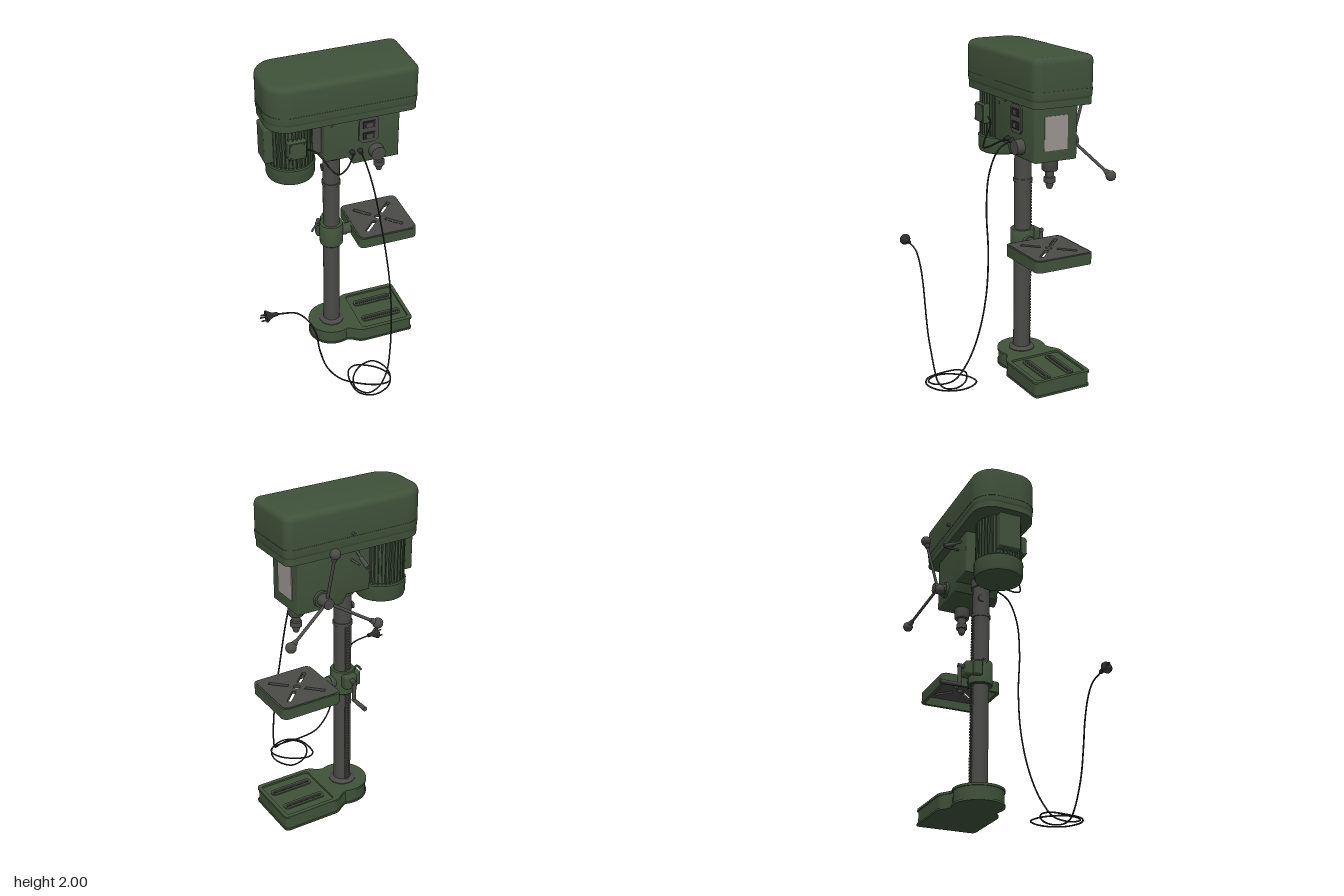
import * as THREE from 'three';
import { toCreasedNormals } from 'three/addons/utils/BufferGeometryUtils.js';
import { RoundedBoxGeometry } from 'three/addons/geometries/RoundedBoxGeometry.js';

const V = (x, y, z) => new THREE.Vector3(x, y, z);
const ZC = -0.182; // depth of the machine's middle plane
const COL = 0.042; // column x

export function createModel() {
  const root = new THREE.Group();
  const mat = (name, color, side = THREE.FrontSide) => {
    const m = new THREE.MeshStandardMaterial({ color, side });
    m.name = name;
    return m;
  };
  const green = mat('machine green', 0x40523a);
  const grey = mat('dark steel', 0x4a4a47);
  const black = mat('black rubber', 0x2b2c2a);
  const pale = mat('label grey', 0x9b9590);

  const add = (name, geo, material, x = 0, y = 0, z = 0) => {
    const m = new THREE.Mesh(geo, material);
    m.name = name;
    m.position.set(x, y, z);
    root.add(m);
    return m;
  };
  const box = (name, m, x0, x1, y0, y1, z0, z1, r = 0) => {
    const s = [x1 - x0, y1 - y0, z1 - z0];
    const g = r ? new RoundedBoxGeometry(...s, 3, r) : new THREE.BoxGeometry(...s);
    return add(name, g, m, (x0 + x1) / 2, (y0 + y1) / 2, (z0 + z1) / 2);
  };
  // tapered round bar between two points
  const rod = (name, m, a, b, r0, r1 = r0, seg = 20) => {
    const d = b.clone().sub(a);
    const mesh = add(name, new THREE.CylinderGeometry(r1, r0, d.length(), seg), m);
    mesh.position.copy(a).add(b).multiplyScalar(0.5);
    mesh.quaternion.setFromUnitVectors(V(0, 1, 0), d.normalize());
    return mesh;
  };
  const lathe = (name, m, pts, x, y, z) => add(name,
    toCreasedNormals(new THREE.LatheGeometry(pts.map(p => new THREE.Vector2(...p)), 32), 0.6), m, x, y, z);
  const tube = (name, m, pts, r, n) => add(name,
    new THREE.TubeGeometry(new THREE.CatmullRomCurve3(pts.map(p => V(...p))), n, r, 8), m);
  // floor-plan outline extruded upward; plan y is minus world z
  const slab = (name, m, shape, y0, y1, bevel = 0, x = 0, z = ZC) => {
    const g = new THREE.ExtrudeGeometry(shape, {
      depth: y1 - y0 - 2 * bevel, curveSegments: 12, bevelEnabled: bevel > 0,
      bevelSize: bevel, bevelThickness: bevel, bevelOffset: -bevel, bevelSegments: 5,
    });
    g.translate(0, 0, bevel).rotateX(-Math.PI / 2);
    return add(name, toCreasedNormals(g, 0.6), m, x, y0, z);
  };
  // rectangle with separate corner radii at its left and right ends
  const plan = (x0, x1, h, rl, rr, P = THREE.Shape) => {
    const s = new P();
    s.moveTo(x0 + rl, -h);
    s.lineTo(x1 - rr, -h);
    s.absarc(x1 - rr, -h + rr, rr, -Math.PI / 2, 0);
    s.absarc(x1 - rr, h - rr, rr, 0, Math.PI / 2);
    s.absarc(x0 + rl, h - rl, rl, Math.PI / 2, Math.PI);
    s.absarc(x0 + rl, -h + rl, rl, Math.PI, Math.PI * 1.5);
    return s;
  };

  // Base: round end under the column, necking into a square work surface
  const basePlan = (d) => {
    const s = new THREE.Shape(), R = 0.152 - d, h = 0.19 - d, e = 0.548 - d;
    s.moveTo(0.1, -R + 0.012);
    s.bezierCurveTo(0.15, -R, 0.16, -h, 0.21, -h);
    s.lineTo(e - 0.03, -h);
    s.quadraticCurveTo(e, -h, e, -h + 0.03);
    s.lineTo(e, h - 0.03);
    s.quadraticCurveTo(e, h, e - 0.03, h);
    s.lineTo(0.21, h);
    s.bezierCurveTo(0.16, h, 0.15, R, 0.1, R - 0.012);
    s.absarc(COL, 0, R, 1.17, Math.PI * 2 - 1.17);
    return s;
  };
  slab('baseBody', green, basePlan(0.006), 0, 0.088);
  slab('baseFoot', green, basePlan(0), 0, 0.012);
  const rim = basePlan(0);
  rim.holes.push(plan(0.2, 0.525, 0.165, 0.02, 0.02, THREE.Path));
  slab('baseRim', green, rim, 0.086, 0.1);
  for (const s of [-1, 1]) {
    slab('baseSlotRib', green, plan(0.23, 0.5, 0.026, 0.02, 0.02), 0.086, 0.096, 0, 0, ZC + s * 0.08);
    slab('baseSlot', black, plan(0.24, 0.49, 0.012, 0.011, 0.011), 0.094, 0.098, 0, 0, ZC + s * 0.08);
  }

  // Column with flange, collars and toothed rack
  lathe('columnFlange', grey, [[0, 0.095], [0.08, 0.095], [0.08, 0.105], [0.06, 0.112], [0.053, 0.12]], COL, 0, ZC);
  rod('column', grey, V(COL, 0.09, ZC), V(COL, 1.45, ZC), 0.052, 0.052, 40);
  rod('rackCollar', grey, V(COL, 1.185, ZC), V(COL, 1.205, ZC), 0.058, 0.058, 40);
  rod('headCollar', grey, V(COL, 1.385, ZC), V(COL, 1.45, ZC), 0.063, 0.063, 40);
  const teeth = new THREE.Shape();
  teeth.moveTo(0, 0.12);
  for (let y = 0.12; y < 1.17; y += 0.018) {
    teeth.lineTo(0.012, y);
    teeth.lineTo(0.012, y + 0.009);
    teeth.lineTo(0.006, y + 0.011);
    teeth.lineTo(0.006, y + 0.017);
  }
  teeth.lineTo(0, 1.185);
  const rackGeo = new THREE.ExtrudeGeometry(teeth, { depth: 0.026, bevelEnabled: false });
  rackGeo.translate(0, 0, -0.013).rotateY(Math.PI / 2);
  add('rack', rackGeo, grey, COL, 0, ZC - 0.047);

  // Table bracket, gear housing, crank and clamp lever
  lathe('tableBracket', green, [[0.05, 0.738], [0.07, 0.738], [0.073, 0.742], [0.073, 0.883], [0.07, 0.888], [0.05, 0.888]], COL, 0, ZC);
  rod('tableArm', green, V(0.1, 0.815, ZC), V(0.17, 0.815, ZC), 0.034);
  rod('tableArmCollar', grey, V(0.105, 0.815, ZC), V(0.135, 0.815, ZC), 0.038);
  box('gearHousing', green, 0.0, 0.085, 0.79, 0.88, -0.29, -0.22, 0.015);
  rod('crankShaft', grey, V(COL, 0.85, -0.28), V(COL, 0.85, -0.325), 0.014);
  rod('crankArm', grey, V(COL, 0.86, -0.315), V(COL, 0.725, -0.315), 0.012);
  rod('crankHandle', grey, V(COL, 0.73, -0.305), V(COL, 0.73, -0.435), 0.011, 0.014);
  box('clampEar', green, -0.045, 0.0, 0.78, 0.87, -0.25, -0.2, 0.01);
  tube('clampLever', grey, [[-0.02, 0.85, -0.21], [-0.04, 0.88, -0.2], [-0.06, 0.872, -0.195], [-0.085, 0.84, -0.19]], 0.007, 20);

  // Table: hollow green frame with a slotted steel top
  const frame = plan(0.165, 0.546, 0.19, 0.035, 0.035);
  frame.holes.push(plan(0.185, 0.526, 0.17, 0.025, 0.025, THREE.Path));
  slab('tableFrame', green, frame, 0.78, 0.848);
  const top = plan(0.175, 0.536, 0.18, 0.03, 0.03);
  for (let i = 0; i < 4; i++) {
    const a = Math.PI / 4 + i * Math.PI / 2, c = Math.cos(a), s = Math.sin(a);
    const hole = new THREE.Path();
    [[0.05, -0.012], [0.17, -0.012], [0.17, 0.012], [0.05, 0.012]].forEach(([u, v], k) =>
      hole[k ? 'lineTo' : 'moveTo'](0.355 + u * c - v * s, u * s + v * c));
    hole.closePath();
    top.holes.push(hole);
  }
  const centre = new THREE.Path();
  centre.absarc(0.355, 0, 0.02, 0, Math.PI * 2);
  top.holes.push(centre);
  slab('tableTop', grey, top, 0.832, 0.851);

  // Head casting with stepped underside
  const side = new THREE.Shape();
  [[-0.05, 1.74], [-0.05, 1.44], [0.1, 1.44], [0.13, 1.39], [0.416, 1.39], [0.416, 1.74]]
    .forEach(([x, y], i) => side[i ? 'lineTo' : 'moveTo'](x, y));
  const headGeo = new THREE.ExtrudeGeometry(side, {
    depth: 0.264, bevelSize: 0.01, bevelThickness: 0.01, bevelOffset: -0.01, bevelSegments: 3 });
  add('head', toCreasedNormals(headGeo, 0.6), green, 0, 0, -0.314);
  box('sideLabel', pale, 0.414, 0.42, 1.455, 1.655, -0.257, -0.105);

  // Belt cover
  slab('coverLower', green, plan(-0.385, 0.507, 0.193, 0.13, 0.045), 1.72, 1.8);
  slab('coverSeam', green, plan(-0.392, 0.514, 0.199, 0.14, 0.05), 1.798, 1.814);
  slab('coverUpper', green, plan(-0.39, 0.512, 0.197, 0.138, 0.05), 1.74, 2.0, 0.035);
  rod('coverKnob', grey, V(0.1, 1.83, -0.37), V(0.1, 1.83, -0.398), 0.009);

  // Motor: finned barrel, end cap, terminal box and mounts
  const MX = -0.215;
  lathe('motorBarrel', green, [[0, 1.41], [0.122, 1.41], [0.122, 1.7], [0.1, 1.725], [0, 1.725]], MX, 0, ZC);
  for (let i = 0; i < 36; i++) {
    const a = i / 36 * Math.PI * 2;
    const fin = box('motorFin', green, -0.012, 0.012, 1.43, 1.695, -0.004, 0.004);
    fin.position.x = MX + Math.cos(a) * 0.128;
    fin.position.z = ZC + Math.sin(a) * 0.128;
    fin.rotation.y = -a;
  }
  lathe('motorCap', green, [[0, 1.32], [0.125, 1.32], [0.14, 1.327], [0.146, 1.345], [0.149, 1.425], [0.143, 1.432], [0.12, 1.432]], MX, 0, ZC);
  box('terminalBox', green, -0.272, -0.16, 1.51, 1.628, -0.08, -0.025, 0.008);
  box('terminalLid', green, -0.265, -0.167, 1.517, 1.621, -0.026, -0.018);
  for (const x of [-0.256, -0.176]) for (const y of [1.527, 1.611])
    rod('lidScrew', grey, V(x, y, -0.02), V(x, y, -0.014), 0.005, 0.005, 10);
  box('motorSidePad', green, -0.39, -0.33, 1.46, 1.69, -0.25, -0.114, 0.008);
  box('motorMount', grey, -0.1, -0.045, 1.47, 1.69, -0.26, -0.1, 0.006);

  // Switch and front fittings
  const sw = new THREE.Shape();
  [[-0.06, -0.065], [-0.04, -0.085], [0.04, -0.085], [0.06, -0.065], [0.06, 0.065], [0.04, 0.085], [-0.04, 0.085], [-0.06, 0.065]]
    .forEach(([x, y], i) => sw[i ? 'lineTo' : 'moveTo'](x, y));
  add('switchPlate', new THREE.ExtrudeGeometry(sw, { depth: 0.012, bevelEnabled: false }), grey, 0.22, 1.615, -0.042);
  box('switchUpper', black, 0.183, 0.257, 1.63, 1.675, -0.032, -0.024);
  box('switchLower', black, 0.183, 0.257, 1.555, 1.6, -0.032, -0.024);
  box('switchButton', grey, 0.2, 0.24, 1.638, 1.667, -0.026, -0.019);
  box('switchButton', grey, 0.2, 0.24, 1.563, 1.592, -0.026, -0.019);
  for (const x of [0.12, 0.17]) rod('cableGland', black, V(x, 1.48, -0.045), V(x, 1.475, -0.012), 0.016, 0.011);
  for (const [x, y] of [[0.0, 1.67], [0.08, 1.7]]) rod('headScrew', grey, V(x, y, -0.045), V(x, y, -0.036), 0.01);
  rod('springCap', grey, V(0.27, 1.46, -0.05), V(0.27, 1.46, 0.008), 0.047, 0.044, 32);

  // Quill and chuck
  lathe('quill', grey, [[0, 1.4], [0.047, 1.4], [0.047, 1.33], [0.042, 1.322], [0, 1.322]].reverse(), 0.352, 0, ZC);
  lathe('chuck', grey, [[0, 1.215], [0.015, 1.215], [0.024, 1.24], [0.024, 1.25], [0.034, 1.253], [0.034, 1.283], [0.026, 1.287], [0.026, 1.33]], 0.352, 0, ZC);

  // Feed hub with three ball-ended arms on the back
  rod('feedFlange', green, V(0.27, 1.46, -0.31), V(0.27, 1.46, -0.34), 0.052, 0.048, 32);
  rod('feedHub', grey, V(0.27, 1.46, -0.33), V(0.27, 1.46, -0.41), 0.037, 0.032, 32);
  for (let i = 0; i < 3; i++) {
    const a = Math.PI / 2 + i * Math.PI * 2 / 3, c = Math.cos(a), s = Math.sin(a);
    const at = (r, z) => V(0.27 + c * r, 1.46 + s * r, z);
    rod('feedArm', grey, at(0.01, -0.385), at(0.315, -0.47), 0.009);
    rod('feedArmSleeve', grey, at(0.275, -0.459), at(0.305, -0.467), 0.013, 0.02);
    add('feedBall', new THREE.SphereGeometry(0.031, 24, 16), grey).position.copy(at(0.322, -0.472));
  }

  // Belt tension lever and lock on the back
  rod('tensionLever', grey, V(0.038, 1.7, -0.31), V(0.038, 1.645, -0.4), 0.008);
  rod('tensionGrip', grey, V(0.038, 1.665, -0.367), V(0.038, 1.635, -0.435), 0.013);
  rod('lockScrew', grey, V(0.075, 1.65, -0.31), V(0.075, 1.65, -0.405), 0.007);
  rod('columnLock', grey, V(-0.015, 1.3, -0.2), V(0.0, 1.3, -0.2), 0.022);

  // Cables
  tube('motorCable', black, [[0.12, 1.475, -0.02], [0.1, 1.46, 0.01], [0.05, 1.425, 0.05], [0, 1.41, 0.062],
    [-0.04, 1.44, 0.035], [-0.07, 1.49, -0.01], [-0.11, 1.53, -0.045], [-0.165, 1.55, -0.055]], 0.005, 60);
  tube('powerCable', black, [
    [0.17, 1.475, -0.02], [0.175, 1.43, 0.06], [0.195, 1.3, 0.13], [0.225, 1.1, 0.163], [0.265, 0.85, 0.173],
    [0.289, 0.6, 0.2], [0.285, 0.36, 0.25], [0.255, 0.17, 0.315], [0.21, 0.06, 0.38], [0.13, 0.018, 0.45],
    [0.05, 0.008, 0.47], [0, 0.006, 0.42], [-0.008, 0.006, 0.36], [0.03, 0.006, 0.28], [0.1, 0.006, 0.222], [0.18, 0.006, 0.21],
    [0.23, 0.006, 0.27], [0.24, 0.006, 0.36], [0.19, 0.006, 0.455], [0.08, 0.006, 0.495], [0, 0.006, 0.45],
    [-0.022, 0.008, 0.35], [0, 0.016, 0.25], [0.05, 0.018, 0.222], [0.13, 0.018, 0.25], [0.2, 0.018, 0.31],
    [0.23, 0.018, 0.38], [0.21, 0.02, 0.43], [0.13, 0.026, 0.44], [0, 0.05, 0.405], [-0.1, 0.095, 0.375],
    [-0.18, 0.2, 0.36], [-0.228, 0.36, 0.354], [-0.25, 0.5, 0.355], [-0.3, 0.62, 0.35], [-0.37, 0.695, 0.345], [-0.49, 0.72, 0.34]], 0.005, 420);

  // Plug
  const plug = lathe('plug', black, [[0, -0.06], [0.012, -0.06], [0.014, -0.03], [0.022, -0.015], [0.035, 0.005],
    [0.035, 0.012], [0.02, 0.014], [0, 0.014]], -0.542, 0.72, 0.34);
  plug.rotation.z = Math.PI / 2;
  for (const [y, z] of [[0.705, 0.325], [0.705, 0.355], [0.736, 0.34]])
    rod('plugPin', grey, V(-0.55, y, z), V(-0.585, y, z), 0.005, 0.005, 10);

  return root;
}
